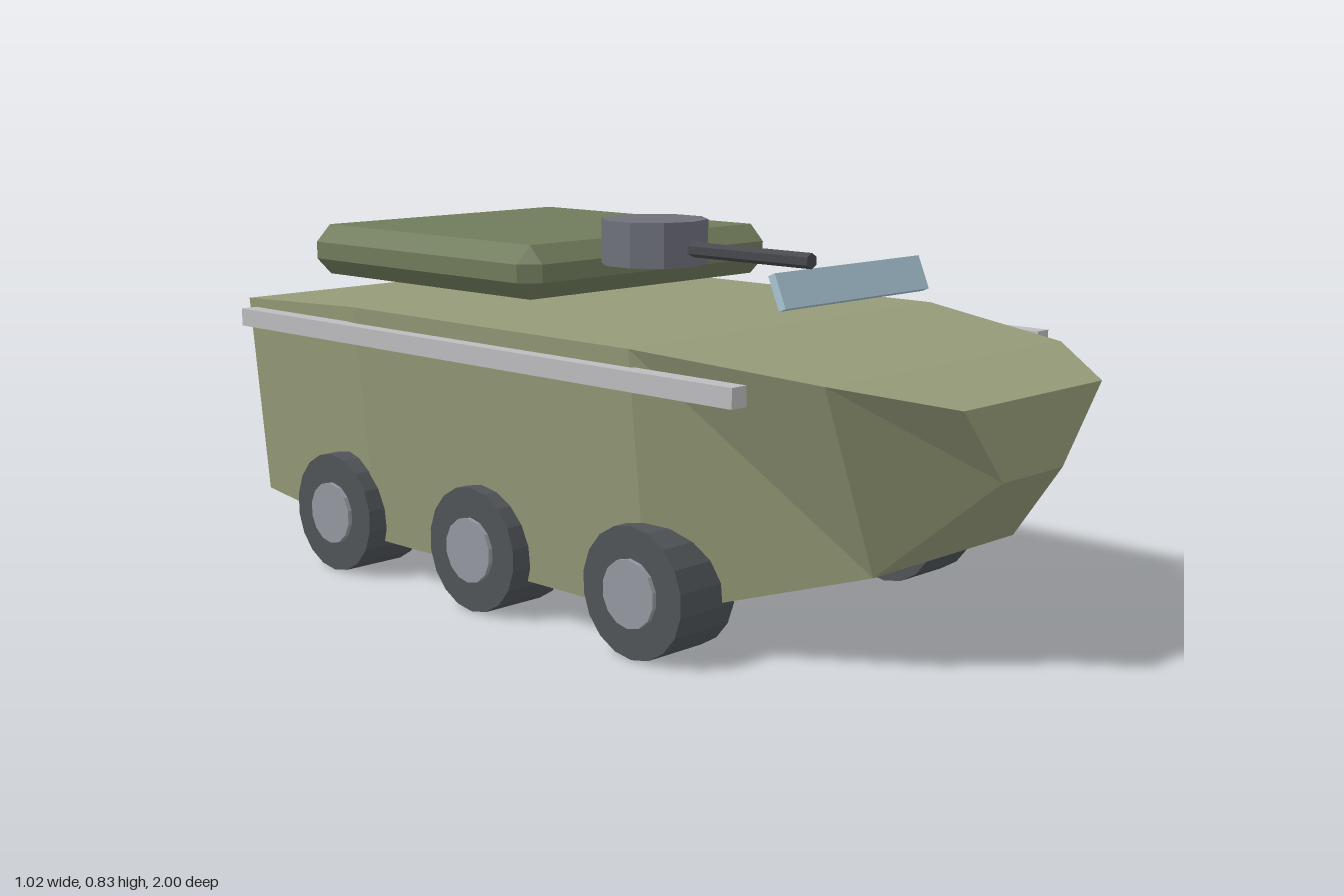
import * as THREE from 'three';
import { ConvexGeometry } from 'three/addons/geometries/ConvexGeometry.js';

const paint = (name, color) => {
  const m = new THREE.MeshStandardMaterial({ color, flatShading: true });
  m.name = name;
  return m;
};

// Hull lofted through four-cornered sections
function hullGeometry() {
  // z, top half width, top y, bottom half width, bottom y
  const sections = [
    [1.0, 0.23, 0.54, 0.1, 0.387],
    [0.805, 0.385, 0.58, 0.232, 0.194],
    [0.4, 0.48, 0.616, 0.428, 0.08],
    [-0.46, 0.48, 0.616, 0.428, 0.08],
    [-1.0, 0.385, 0.58, 0.343, 0.1],
  ];
  const pos = [], idx = [];
  for (const [z, tw, ty, bw, by] of sections)
    pos.push(-tw, ty, z, tw, ty, z, bw, by, z, -bw, by, z);
  for (let s = 0; s < sections.length - 1; s++)
    for (let j = 0; j < 4; j++) {
      const a = s * 4 + j, b = s * 4 + (j + 1) % 4;
      idx.push(a, b, b + 4, a, b + 4, a + 4);
    }
  const e = (sections.length - 1) * 4;
  idx.push(0, 3, 2, 0, 2, 1, e, e + 1, e + 2, e, e + 2, e + 3);
  const g = new THREE.BufferGeometry();
  g.setAttribute('position', new THREE.Float32BufferAttribute(pos, 3));
  g.setIndex(idx);
  const flat = g.toNonIndexed();
  flat.computeVertexNormals();
  return flat;
}

// Box with every edge chamfered by c; three points per corner
function chamferedBox(w, h, d, c) {
  const pts = [], x = w / 2, y = h / 2, z = d / 2;
  for (const i of [-1, 1]) for (const j of [-1, 1]) for (const k of [-1, 1])
    pts.push(
      new THREE.Vector3(i * x, j * (y - c), k * (z - c)),
      new THREE.Vector3(i * (x - c), j * y, k * (z - c)),
      new THREE.Vector3(i * (x - c), j * (y - c), k * z));
  return new ConvexGeometry(pts);
}

export function createModel() {
  const hullGreen = paint('hull green', 0x959b78);
  const deckGreen = paint('dark green', 0x707b5b);
  const rubber = paint('tyre rubber', 0x505458);
  const hubGrey = paint('hub grey', 0x9598a1);
  const turretGrey = paint('turret grey', 0x6f717b);
  const gunGrey = paint('gun grey', 0x46484d);
  const railGrey = paint('rail grey', 0xbcbcbe);
  const glass = paint('pale glass', 0xa9c6d4);

  const model = new THREE.Group();
  model.name = 'armouredVehicle';
  const add = (name, geo, mat, x, y, z, parent = model) => {
    const m = new THREE.Mesh(geo, mat);
    m.name = name;
    m.position.set(x, y, z);
    parent.add(m);
    return m;
  };

  add('hull', hullGeometry(), hullGreen, 0, 0, 0);
  add('roofPanel', chamferedBox(0.77, 0.115, 0.77, 0.038), deckGreen, 0, 0.717, -0.37);

  // Gun station
  add('turret', new THREE.CylinderGeometry(0.113, 0.113, 0.094, 10), turretGrey, -0.155, 0.782, 0.153);
  add('gunBarrel', new THREE.CylinderGeometry(0.016, 0.016, 0.43, 6), gunGrey, -0.155, 0.772, 0.365)
    .rotation.x = Math.PI / 2;

  // Slanted windscreen
  add('windscreen', new THREE.BoxGeometry(0.46, 0.073, 0.018), glass, 0, 0.715, 0.556)
    .rotation.x = -0.4;

  // Side rails and three wheels per side
  const railGeo = new THREE.BoxGeometry(0.04, 0.04, 1.54);
  const tyreGeo = new THREE.CylinderGeometry(0.135, 0.135, 0.152, 18);
  const hubGeo = new THREE.CylinderGeometry(0.07, 0.07, 0.172, 14);
  tyreGeo.rotateY(Math.PI / 2).rotateZ(Math.PI / 2);
  hubGeo.rotateY(Math.PI / 2).rotateZ(Math.PI / 2);
  for (const [side, s] of [['left', 1], ['right', -1]]) {
    add(side + 'Rail', railGeo, railGrey, s * 0.49, 0.56, -0.077);
    [0.405, -0.073, -0.555].forEach((z, i) => {
      const wheel = new THREE.Group();
      wheel.name = side + 'Wheel' + (i + 1);
      wheel.position.set(s * 0.403, 0.135, z);
      add('tyre', tyreGeo, rubber, 0, 0, 0, wheel);
      add('hub', hubGeo, hubGrey, 0, 0, 0, wheel);
      model.add(wheel);
    });
  }
  return model;
}
